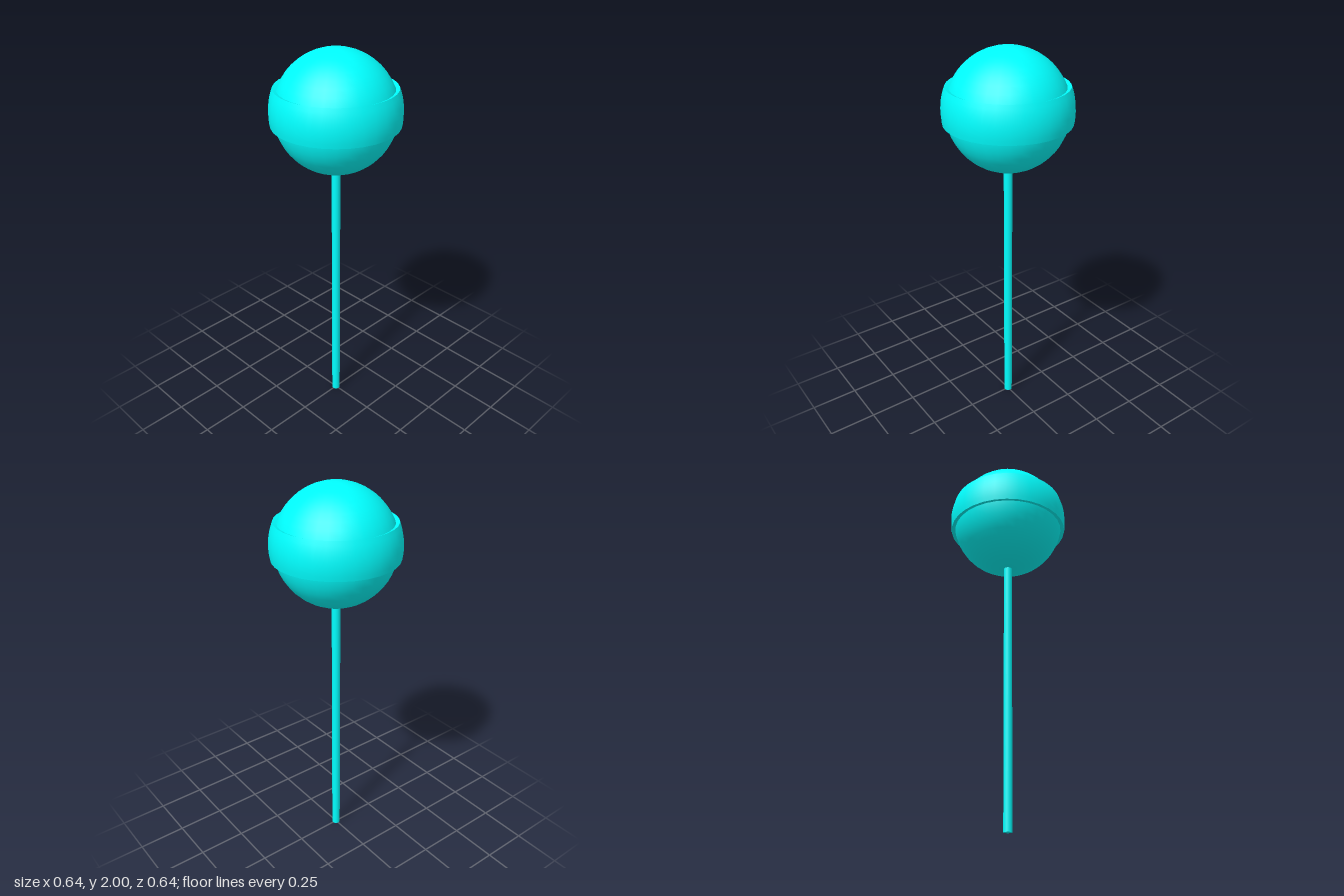
import * as THREE from 'three';

const SIDES = 32;
const CENTRE_Y = 1.7;
const BALL_R = 0.3;
const BAND_R = 0.32;

export function createModel() {
  const model = new THREE.Group();
  model.name = 'lollipop';
  const material = new THREE.MeshStandardMaterial({ color: 0x00ffff });

  const add = (parent, name, geometry, y) => {
    const mesh = new THREE.Mesh(geometry, material);
    mesh.name = name;
    mesh.position.y = y;
    parent.add(mesh);
  };

  // Stick, its top end buried in the ball
  const stickLength = 1.42;
  add(model, 'stick', new THREE.CylinderGeometry(0.022, 0.022, stickLength, 16), stickLength / 2);

  // Round candy head
  add(model, 'candyBall', new THREE.SphereGeometry(BALL_R, SIDES, 24), CENTRE_Y);

  // Raised spherical band, cut radially at its upper and lower rims
  const band = new THREE.Group();
  band.name = 'band';
  band.position.y = CENTRE_Y;
  model.add(band);

  const top = Math.asin(0.12 / BAND_R);
  const bottom = Math.asin(-0.06 / BAND_R);
  const at = (r, angle) => new THREE.Vector2(r * Math.cos(angle), r * Math.sin(angle));
  const inner = BALL_R - 0.003;

  const arc = [];
  for (let i = 0; i <= 8; i++) arc.push(at(BAND_R, THREE.MathUtils.lerp(bottom, top, i / 8)));

  add(band, 'bandSurface', new THREE.LatheGeometry(arc, SIDES), 0);
  add(band, 'upperRim', new THREE.LatheGeometry([at(BAND_R, top), at(inner, top)], SIDES), 0);
  add(band, 'lowerRim', new THREE.LatheGeometry([at(inner, bottom), at(BAND_R, bottom)], SIDES), 0);

  return model;
}
